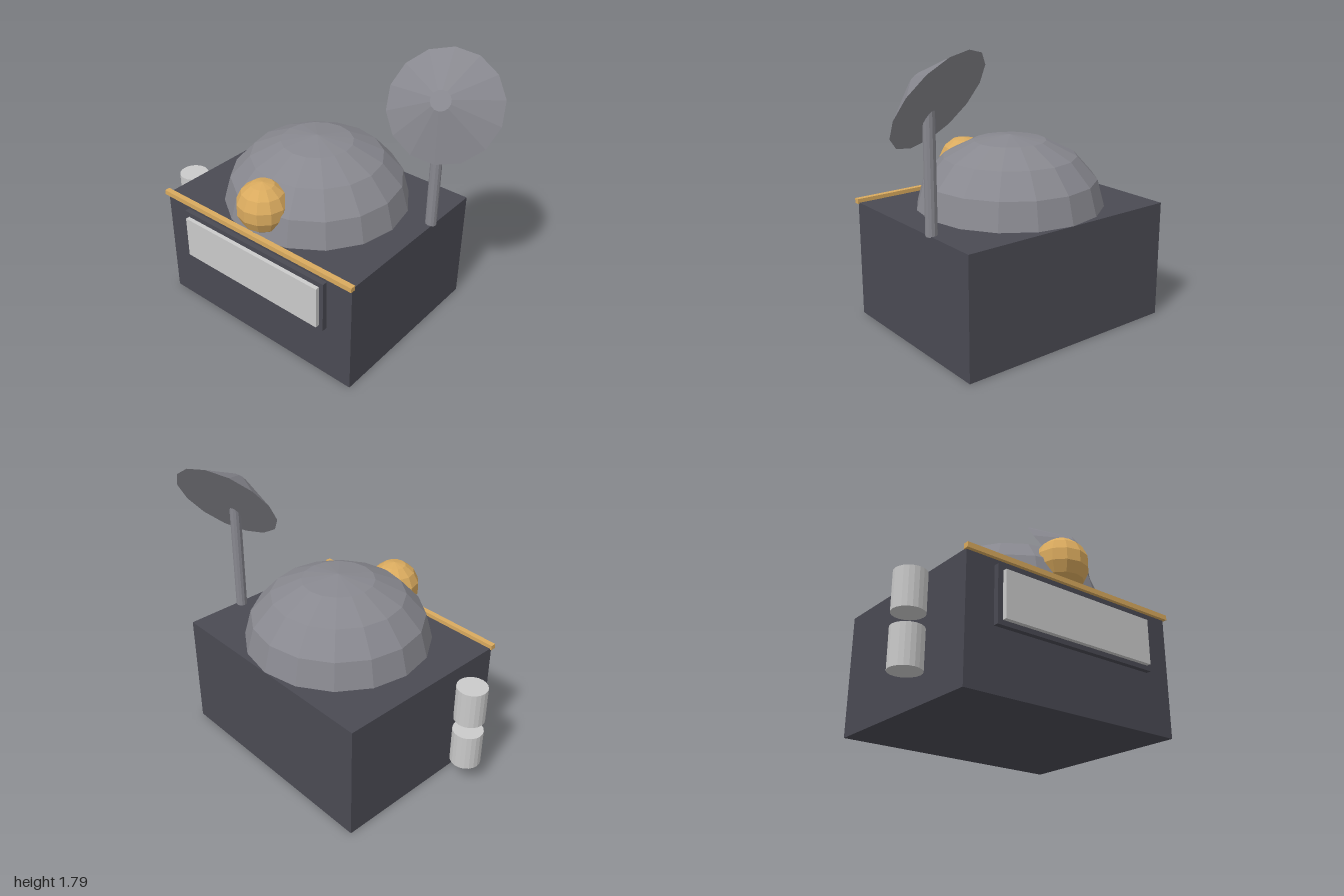
import * as THREE from 'three';

export function createModel() {
  const model = new THREE.Group();

  const material = (name, color) => {
    const m = new THREE.MeshStandardMaterial({ color, flatShading: true });
    m.name = name;
    return m;
  };
  const darkWall = material('dark wall', 0x4a4a53);
  const greyMetal = material('grey metal', 0x88888f);
  const gold = material('gold', 0xd9aa5e);
  const paleGrey = material('pale grey', 0xcacaca);

  const add = (name, geometry, mat, x, y, z) => {
    const mesh = new THREE.Mesh(geometry, mat);
    mesh.name = name;
    mesh.position.set(x, y, z);
    model.add(mesh);
    return mesh;
  };
  // Box given by its lower and upper limits on each axis
  const addBox = (name, mat, [x0, x1], [y0, y1], [z0, z1]) =>
    add(name, new THREE.BoxGeometry(x1 - x0, y1 - y0, z1 - z0), mat,
      (x0 + x1) / 2, (y0 + y1) / 2, (z0 + z1) / 2);

  const midX = -0.033;
  const midZ = -0.037;

  // Main building and the trim along its front roof edge
  addBox('building', darkWall, [-0.777, 0.711], [0, 0.75], [-0.625, 0.552]);
  addBox('roofTrim', gold, [-0.787, 0.722], [0.744, 0.775], [0.54, 0.575]);

  // Front window: frame and raised pane
  addBox('windowFrame', darkWall, [-0.596, 0.532], [0.364, 0.706], [0.54, 0.585]);
  addBox('windowPane', paleGrey, [-0.563, 0.503], [0.393, 0.674], [0.57, 0.612]);

  // Flattened roof dome
  const dome = new THREE.SphereGeometry(0.588, 16, 4, 0, Math.PI * 2, 0, Math.PI / 2);
  dome.scale(1, 0.748, 1);
  add('dome', dome, greyMetal, midX, 0.75, midZ);

  // Ball over the front edge
  add('ball', new THREE.SphereGeometry(0.165, 12, 7), gold, midX, 0.925, 0.455);

  // Two drums floating beside the right wall
  for (const y of [0.257, 0.577]) {
    add('drum', new THREE.CylinderGeometry(0.095, 0.095, 0.235, 20), paleGrey, -0.905, y, 0.225);
  }

  // Dish on its mast, tilted up and outwards
  add('mast', new THREE.CylinderGeometry(0.035, 0.035, 0.71, 12), greyMetal, 0.69, 1.1, -0.247);
  const sides = 14;
  const dishGeometry = new THREE.CylinderGeometry(0.06, 0.34, 0.173, sides);
  dishGeometry.rotateY(Math.PI / sides);
  dishGeometry.translate(0, 0.0865, 0);
  const dish = add('dish', dishGeometry, greyMetal, 0.671, 1.51, -0.318);
  dish.rotation.set(0.936, 0, -0.284);

  return model;
}
